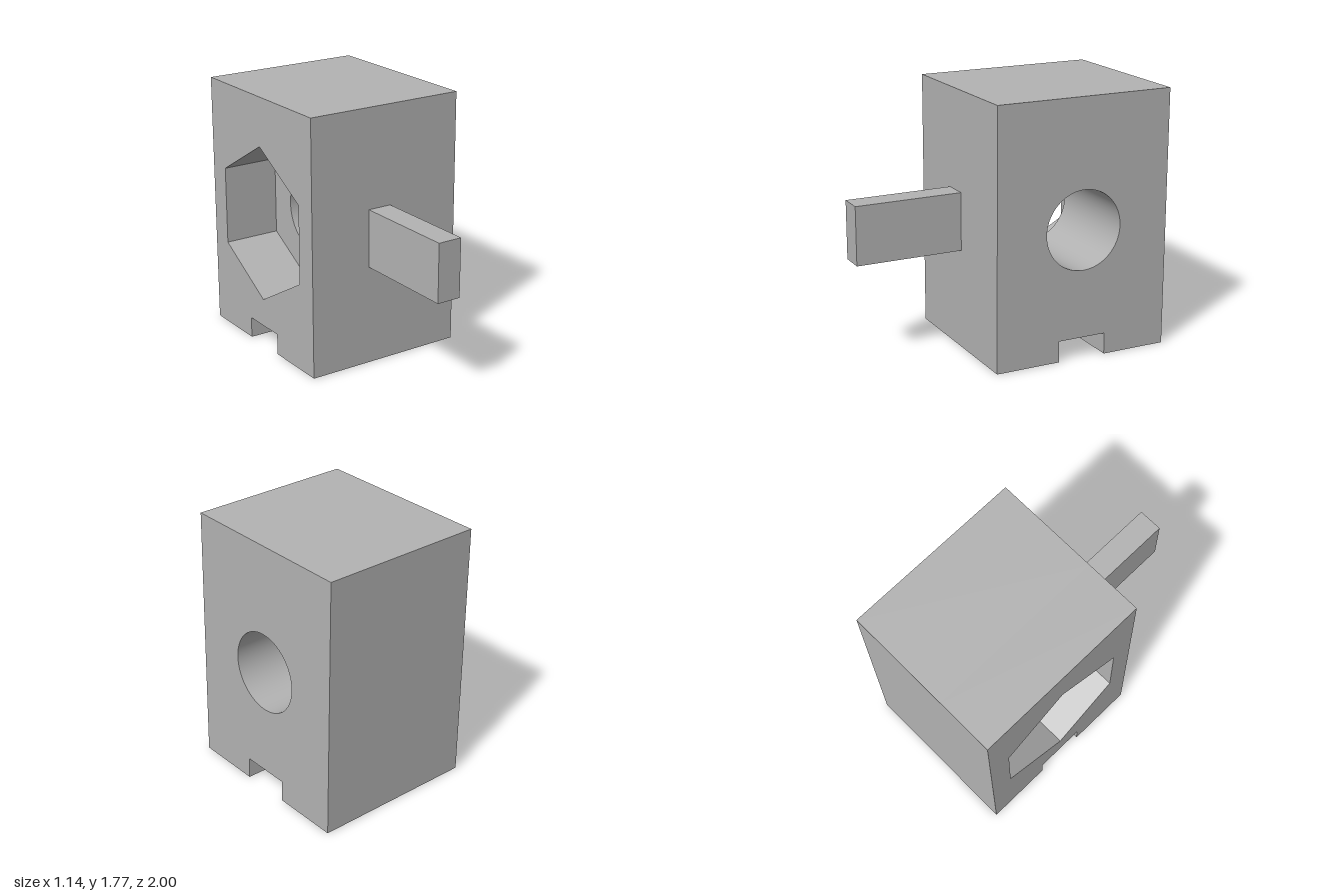
import * as THREE from 'three';
import { toCreasedNormals } from 'three/addons/utils/BufferGeometryUtils.js';

const HEIGHT = 1.774, HALF_W = 0.57, FRONT = 0.258, BACK = -1;
const MID_Z = (FRONT + BACK) / 2, MID_Y = HEIGHT / 2 + 0.002;
const SLOT_HALF = 0.172, SLOT_H = 0.147;
const BORE_R = 0.273, HEX_R = 0.545, POCKET_DEPTH = 0.4;

// Side outline with the bottom slot; shape x runs toward the back (-z)
function sideProfile(hole) {
  const shape = new THREE.Shape([
    [-FRONT, 0], [-MID_Z - SLOT_HALF, 0], [-MID_Z - SLOT_HALF, SLOT_H],
    [-MID_Z + SLOT_HALF, SLOT_H], [-MID_Z + SLOT_HALF, 0], [-BACK, 0],
    [-BACK, HEIGHT], [-FRONT, HEIGHT],
  ].map(([x, y]) => new THREE.Vector2(x, y)));
  shape.holes.push(hole);
  return shape;
}

// Extrudes a side profile across the width from x0 to x1
function slab(name, hole, x0, x1, material) {
  const geo = new THREE.ExtrudeGeometry(sideProfile(hole), {
    depth: x1 - x0, bevelEnabled: false, curveSegments: 64,
  });
  geo.rotateY(Math.PI / 2).translate(x0, 0, 0);
  const mesh = new THREE.Mesh(toCreasedNormals(geo, 0.5), material);
  mesh.name = name;
  return mesh;
}

export function createModel() {
  const group = new THREE.Group();
  group.name = 'slottedBlock';
  const grey = new THREE.MeshStandardMaterial({ color: 0xb2b2b2 });
  grey.name = 'grey';

  // Round bore through the left part of the block
  const bore = new THREE.Path();
  bore.absarc(-MID_Z, MID_Y, BORE_R, 0, Math.PI * 2, true);

  // Hexagonal pocket, point up, in the right part
  const hexagon = new THREE.Path(Array.from({ length: 6 }, (_, i) => {
    const a = Math.PI / 2 - i * Math.PI / 3;
    return new THREE.Vector2(-MID_Z + HEX_R * Math.cos(a), MID_Y + HEX_R * Math.sin(a));
  }));

  const step = -HALF_W + POCKET_DEPTH;
  group.add(slab('boredBody', bore, step, HALF_W, grey));
  group.add(slab('hexPocketBody', hexagon, -HALF_W, step, grey));

  // Flat tongue sticking out of the front
  const length = 1 - FRONT;
  const tongue = new THREE.Mesh(new THREE.BoxGeometry(0.17, 0.4, length), grey);
  tongue.name = 'tongue';
  tongue.position.set(-0.046, MID_Y, FRONT + length / 2);
  group.add(tongue);

  return group;
}
